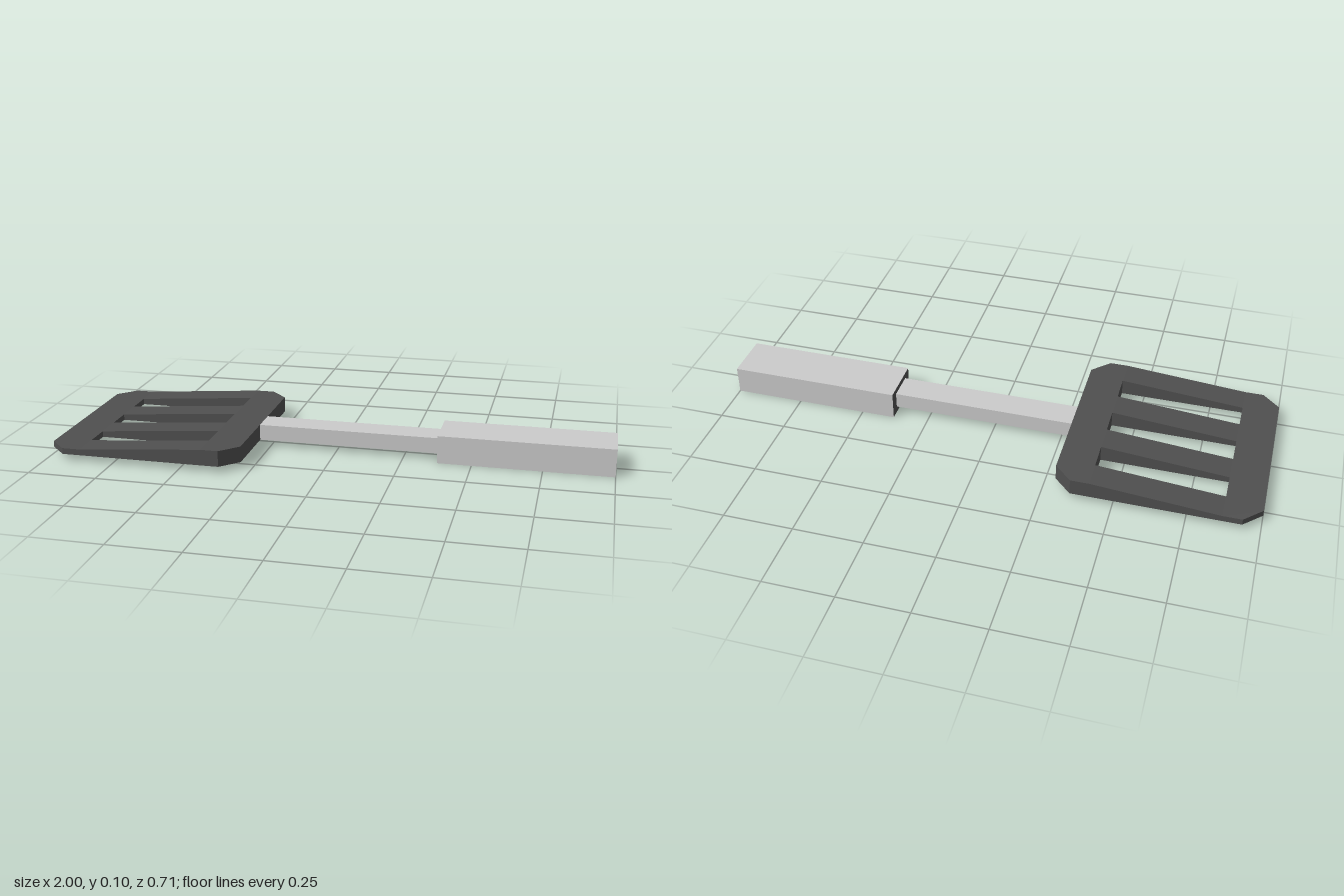
import * as THREE from 'three';

const grey = new THREE.MeshStandardMaterial({ color: 0xcccccc, flatShading: true });
const dark = new THREE.MeshStandardMaterial({ color: 0x505050, flatShading: true });

// Blade dimensions
const BOTTOM = 0.023, TIP_TOP = 0.045, HEEL_TOP = 0.081;
const TIP = -1, SLOT_START = -0.87, SLOT_END = -0.418, HEEL = -0.289;
const HALF = 0.356, CHAMFER = 0.063;

function extrude(points, depth) {
  const shape = new THREE.Shape(points.map(([x, y]) => new THREE.Vector2(x, y)));
  return new THREE.ExtrudeGeometry(shape, { depth, bevelEnabled: false });
}

function add(parent, name, geometry, material) {
  const mesh = new THREE.Mesh(geometry, material);
  mesh.name = name;
  parent.add(mesh);
  return mesh;
}

// Flat crossbar with its two outer corners cut off
function crossbar(inner, outer, top) {
  const cut = outer + Math.sign(inner - outer) * CHAMFER;
  const points = [
    [inner, -HALF], [cut, -HALF], [outer, -HALF + CHAMFER],
    [outer, HALF - CHAMFER], [cut, HALF], [inner, HALF],
  ];
  return extrude(points, top - BOTTOM).rotateX(-Math.PI / 2).translate(0, BOTTOM, 0);
}

// Box with grey sides and dark end caps
function bar(parent, name, x0, x1, y0, y1, width) {
  const geometry = new THREE.BoxGeometry(x1 - x0, y1 - y0, width);
  const mesh = add(parent, name, geometry, [dark, dark, grey, grey, grey, grey]);
  mesh.position.set((x0 + x1) / 2, (y0 + y1) / 2, 0);
}

export function createModel() {
  const model = new THREE.Group();
  model.name = 'spatula';

  // Slotted blade: two crossbars joined by four wedge-shaped slats
  const blade = new THREE.Group();
  blade.name = 'blade';
  model.add(blade);
  add(blade, 'bladeTip', crossbar(SLOT_START, TIP, TIP_TOP), dark);
  add(blade, 'bladeHeel', crossbar(SLOT_END, HEEL, HEEL_TOP), dark);

  const wedge = [
    [SLOT_START, BOTTOM], [SLOT_END, BOTTOM], [SLOT_END, HEEL_TOP], [SLOT_START, TIP_TOP],
  ];
  for (const [z0, z1] of [[-HALF, -0.255], [-0.153, -0.051], [0.051, 0.153], [0.255, HALF]]) {
    add(blade, 'bladeSlat', extrude(wedge, z1 - z0).translate(0, 0, z0), dark);
  }

  // Shaft and grip
  bar(model, 'shaft', HEEL, 0.377, 0.023, 0.081, 0.104);
  bar(model, 'grip', 0.377, 1, 0, 0.102, 0.178);

  return model;
}
